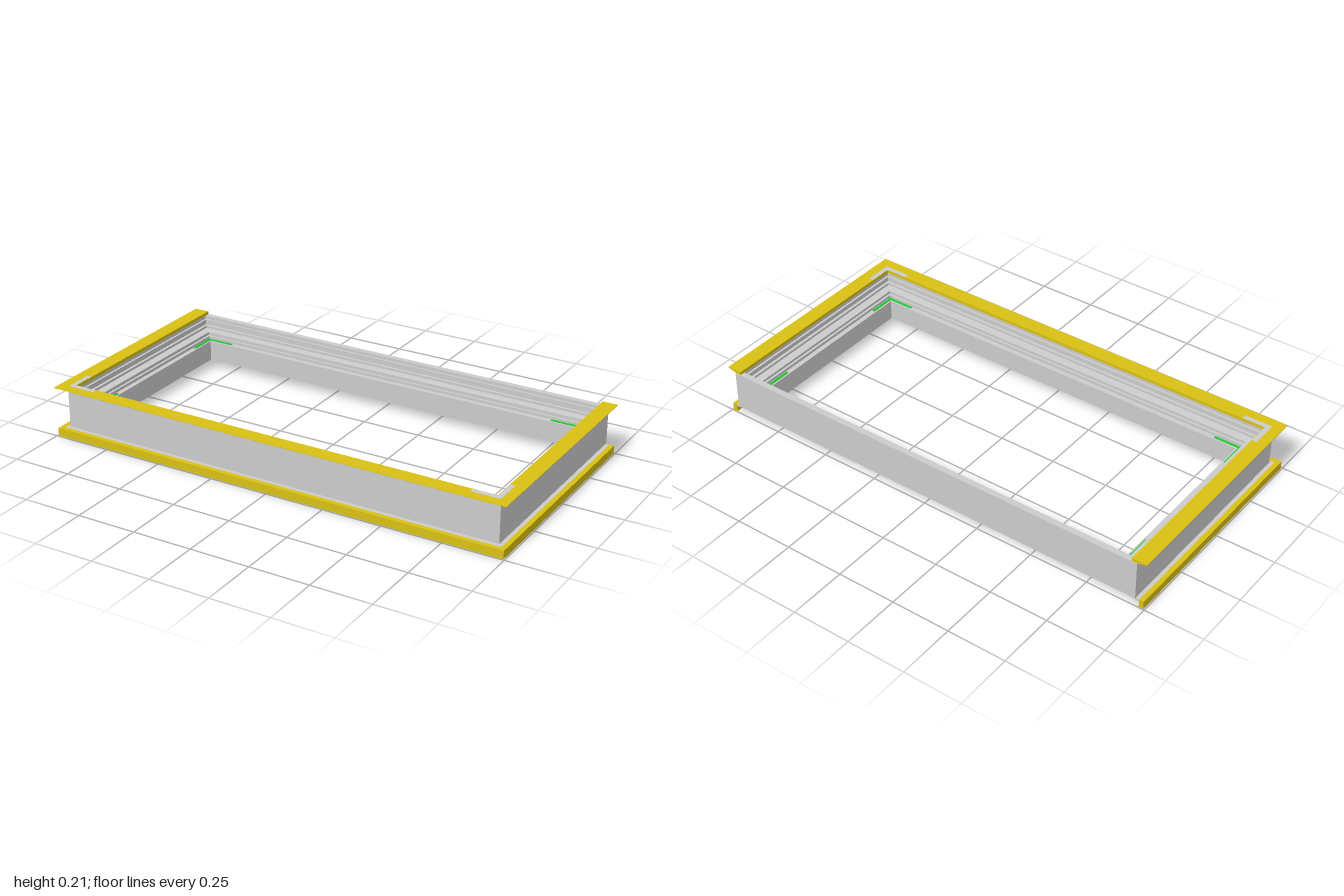
import * as THREE from 'three';

const HALF_X = 0.96, FRONT = 0.46, BACK = -0.5;

const material = (color, side = THREE.FrontSide) =>
  new THREE.MeshStandardMaterial({ color, flatShading: true, side });
const grey = material(0xcccccc);
const yellow = material(0xd9c014, THREE.DoubleSide);
const shelfGrey = material(0xcccccc, THREE.DoubleSide);
const green = material(0x22cc33);

// Sweeps a profile of [inset, height] points round the rectangle with mitred corners.
// A closed sweep makes all four sides; an open one leaves out the back.
function sweep(name, profile, mat, closed) {
  const corner = (i, [d, y]) => [
    (i < 2 ? -1 : 1) * (HALF_X - d), y,
    i === 1 || i === 2 ? FRONT - d : BACK + (closed ? d : 0.003),
  ];
  const pos = [];
  for (let i = 0; i < (closed ? 4 : 3); i++) {
    const k = (i + 1) % 4;
    profile.forEach((p, j) => {
      const q = profile[(j + 1) % profile.length];
      const a = corner(i, p), b = corner(k, p), c = corner(k, q), d = corner(i, q);
      pos.push(...a, ...b, ...c, ...a, ...c, ...d);
    });
  }
  if (!closed) {
    const tris = THREE.ShapeUtils.triangulateShape(profile.map(p => new THREE.Vector2(...p)), []);
    for (const end of [0, 3]) {
      for (const t of tris) for (const v of t) pos.push(...corner(end, profile[v]));
    }
  }
  const geo = new THREE.BufferGeometry();
  geo.setAttribute('position', new THREE.Float32BufferAttribute(pos, 3));
  geo.computeVertexNormals();
  const mesh = new THREE.Mesh(geo, mat);
  mesh.name = name;
  return mesh;
}

// L-shaped piece lying in a frame corner
function cornerPiece(name, sx, front, inset, width, length, y, height, mat) {
  const group = new THREE.Group();
  group.name = name;
  const inX = -sx, inZ = front ? -1 : 1;
  const x = sx * (HALF_X - inset), z = front ? FRONT - inset : BACK + inset;
  for (const [w, d] of [[length, width], [width, length]]) {
    const leg = new THREE.Mesh(new THREE.BoxGeometry(w, height, d), mat);
    leg.position.set(x + inX * w / 2, y + height / 2, z + inZ * d / 2);
    group.add(leg);
  }
  return group;
}

export function createModel() {
  const model = new THREE.Group();
  model.name = 'windowFrame';

  // Stepped and grooved frame section
  model.add(sweep('frame', [
    [0, 0.035], [0, 0.2], [0.025, 0.2], [0.025, 0.187], [0.034, 0.187], [0.034, 0.172],
    [0.028, 0.172], [0.028, 0.162], [0.04, 0.162], [0.04, 0.152], [0.074, 0.15], [0.074, 0.142],
    [0.069, 0.142], [0.069, 0.134], [0.079, 0.134], [0.079, 0.122], [0.1, 0.122], [0.1, 0.035],
    [0.085, 0.035], [0.085, 0.048], [0.073, 0.048], [0.073, 0.035],
    [0.045, 0.035], [0.045, 0.048], [0.033, 0.048], [0.033, 0.035],
  ], grey, true));

  // Trim on three sides: tapered cover on top, lip and shelf at the bottom
  model.add(sweep('topTrim', [
    [-0.04, 0.211], [-0.04, 0.213], [0.025, 0.213], [0.025, 0.2], [0, 0.2],
  ], yellow, false));
  model.add(sweep('bottomLip', [
    [-0.035, 0], [-0.035, 0.034], [-0.015, 0.034], [-0.015, 0],
  ], yellow, false));
  model.add(sweep('bottomShelf', [
    [-0.015, 0.028], [-0.015, 0.034], [0.002, 0.034], [0.002, 0.028],
  ], shelfGrey, false));

  // Corner plates on the trim and clips on the inner ledge
  for (const sx of [-1, 1]) {
    model.add(cornerPiece('cornerPlate', sx, true, 0.003, 0.02, 0.12, 0.2125, 0.001, grey));
    for (const front of [false, true]) {
      model.add(cornerPiece('cornerClip', sx, front, 0.083, 0.01, 0.12, 0.121, 0.004, green));
    }
  }
  return model;
}
